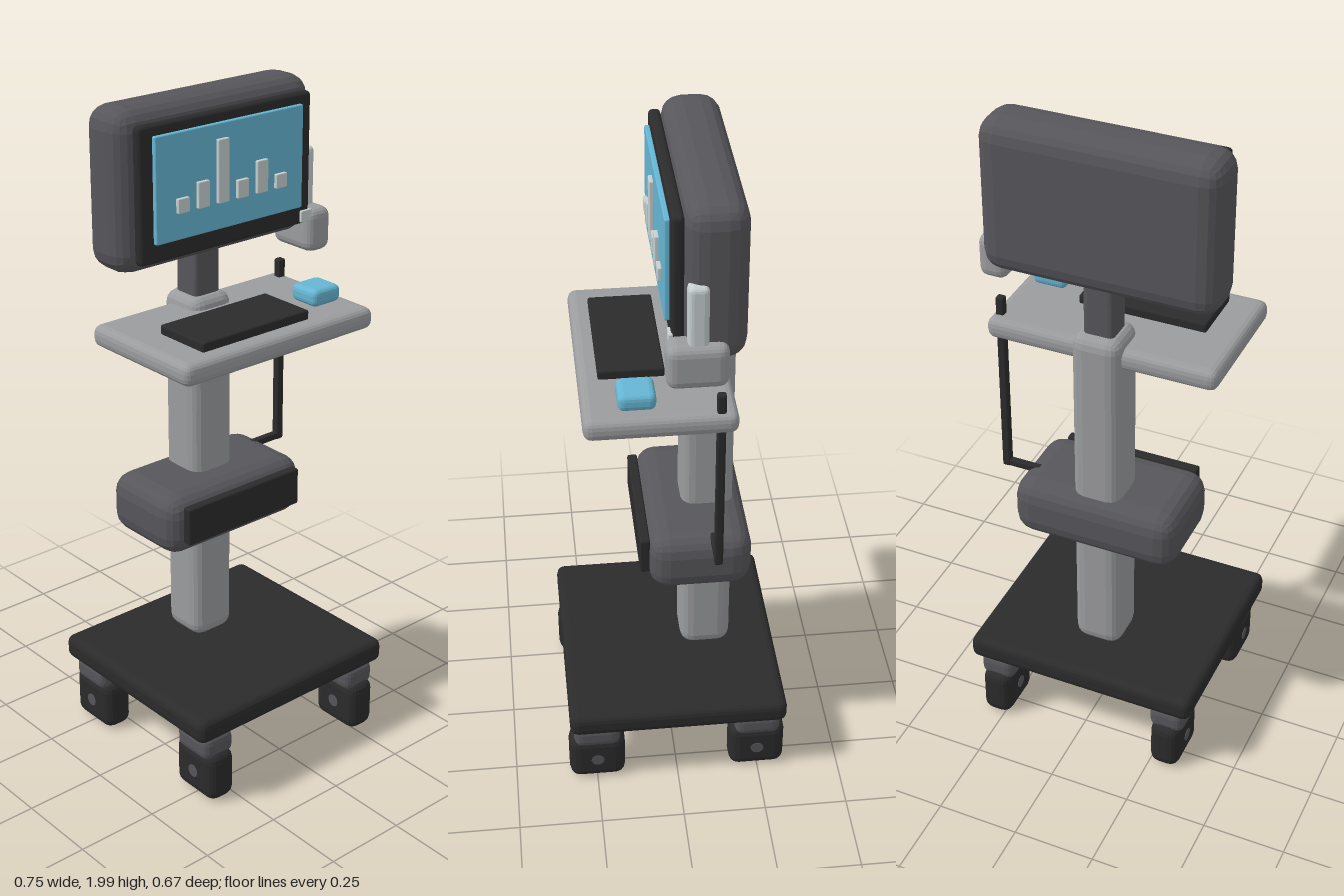
import * as THREE from 'three';
import { RoundedBoxGeometry } from 'three/addons/geometries/RoundedBoxGeometry.js';

function paint(name, color) {
  const m = new THREE.MeshStandardMaterial({ color });
  m.name = name;
  return m;
}

export function createModel() {
  const black = paint('black', 0x2b2b2c);
  const charcoal = paint('charcoal', 0x57565b);
  const grey = paint('grey', 0x9b9c9e);
  const pale = paint('pale grey', 0xc6cfd0);
  const blue = paint('blue', 0x66b5d3);

  const cart = new THREE.Group();
  cart.name = 'computerCart';

  // Faceted bevelled box given by its extents on each axis
  function block(name, mat, [x0, x1], [y0, y1], [z0, z1], bevel = 0, parent = cart) {
    const w = x1 - x0, h = y1 - y0, d = z1 - z0;
    const geo = bevel
      ? new RoundedBoxGeometry(w, h, d, 2, bevel)
      : new THREE.BoxGeometry(w, h, d);
    geo.computeVertexNormals();
    const mesh = new THREE.Mesh(geo, mat);
    mesh.name = name;
    mesh.position.set((x0 + x1) / 2, (y0 + y1) / 2, (z0 + z1) / 2);
    parent.add(mesh);
    return mesh;
  }

  // Base and column
  block('base', black, [-0.375, 0.355], [0.22, 0.296], [-0.333, 0.33], 0.025);
  block('column', grey, [-0.085, 0.065], [0.295, 1.41], [-0.192, -0.037], 0.04);

  // Four casters with hub caps on both sides
  for (const sx of [-1, 1]) {
    for (const sz of [-1, 1]) {
      const caster = new THREE.Group();
      caster.name = 'caster';
      caster.position.set(-0.01 + sx * 0.285, 0, sz * 0.248);
      block('casterMount', charcoal, [-0.055, 0.055], [0.145, 0.225], [-0.07, 0.07], 0.026, caster);
      block('casterWheel', black, [-0.047, 0.047], [0.007, 0.168], [-0.086, 0.086], 0.032, caster);
      const axle = new THREE.Mesh(new THREE.CylinderGeometry(0.02, 0.02, 0.098, 10), charcoal);
      axle.name = 'axle';
      axle.rotation.z = Math.PI / 2;
      axle.position.y = 0.085;
      caster.add(axle);
      cart.add(caster);
    }
  }

  // Battery box with its front panel
  block('batteryBox', charcoal, [-0.27, 0.247], [0.68, 0.866], [-0.228, 0.075], 0.06);
  block('batteryPanel', black, [-0.225, 0.2], [0.73, 0.846], [0.07, 0.1], 0.006);

  // Work shelf, keyboard and pointing device
  block('shelf', grey, [-0.36, 0.337], [1.31, 1.375], [-0.163, 0.26], 0.025);
  block('keyboard', black, [-0.258, 0.13], [1.372, 1.402], [0.02, 0.205], 0.006);
  block('mouse', blue, [0.192, 0.297], [1.376, 1.428], [0.058, 0.163], 0.018);

  // Cable running from the battery box up past the shelf
  const z = -0.115;
  block('cableVertical', black, [0.296, 0.321], [0.84, 1.43], [z - 0.0125, z + 0.0125], 0.006);
  block('cableHorizontal', black, [0.19, 0.318], [0.841, 0.863], [z - 0.011, z + 0.011], 0.005);

  // Neck and monitor
  block('neck', charcoal, [-0.056, 0.036], [1.38, 1.62], [-0.16, -0.068], 0.015);
  block('monitorHousing', charcoal, [-0.36, 0.34], [1.54, 2.0], [-0.182, -0.012], 0.06);
  block('bezel', black, [-0.318, 0.298], [1.578, 1.963], [-0.014, 0.02], 0.012);
  block('screen', blue, [-0.275, 0.255], [1.635, 1.934], [0.018, 0.034], 0.004);

  // Bar chart raised on the screen
  [0.042, 0.075, 0.18, 0.053, 0.094, 0.042].forEach((h, i) => {
    const x = -0.187 + i * 0.0708;
    block('chartBar', pale, [x - 0.02, x + 0.02], [1.712, 1.712 + h], [0.032, 0.045], 0.003);
  });
  block('powerButton', pale, [0.26, 0.3], [1.585, 1.62], [0.016, 0.028], 0.003);

  // Scanner in its side holder
  block('scannerHolder', grey, [0.284, 0.372], [1.486, 1.617], [-0.128, 0.04], 0.028);
  block('scannerHandle', pale, [0.302, 0.354], [1.58, 1.787], [-0.074, -0.018], 0.015);

  return cart;
}
